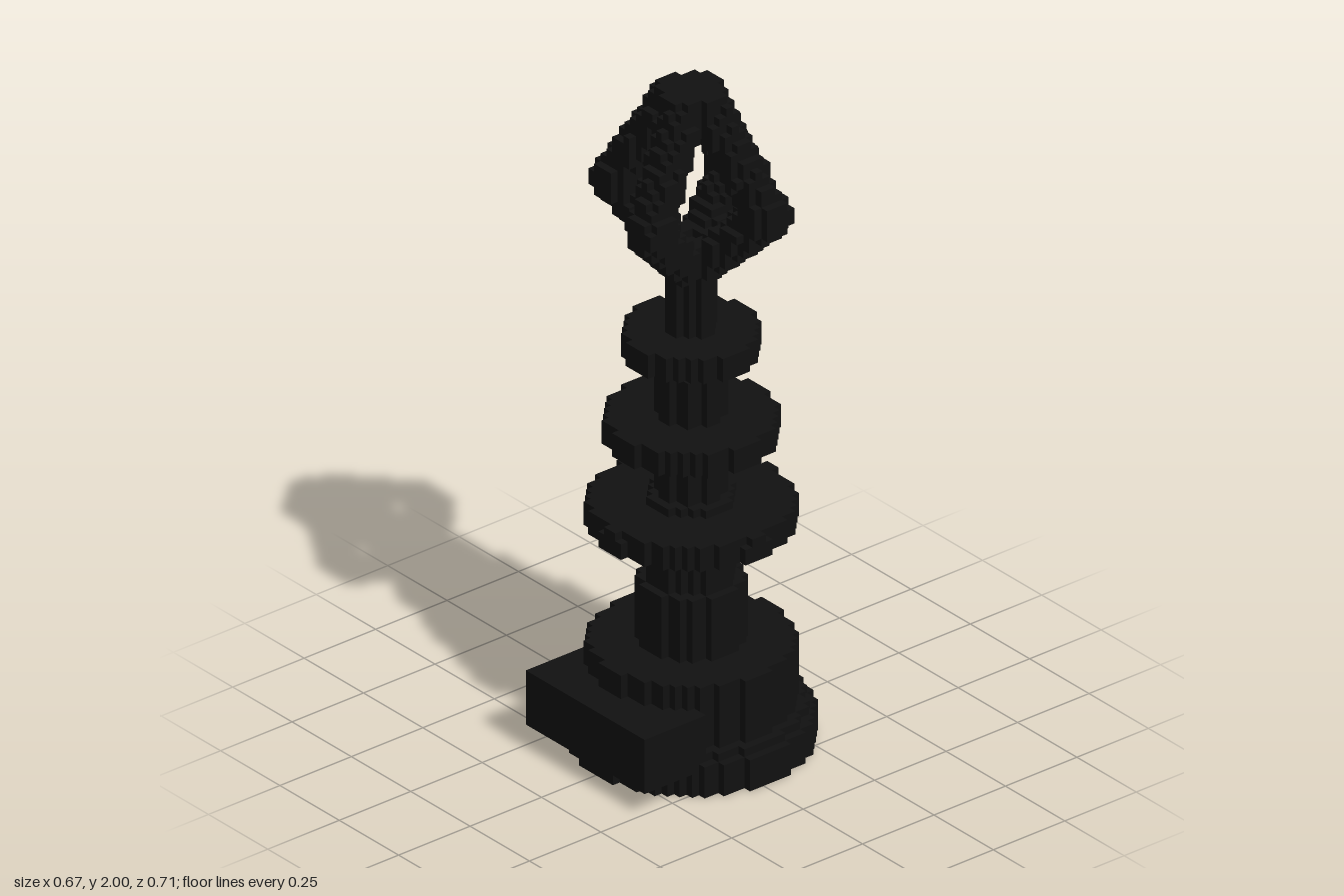
import * as THREE from 'three';

const V = 2 / 84;              // edge of one cube
const AXIS_Z = -1;             // column axis, in cubes
const black = new THREE.MeshStandardMaterial({ color: 0x111111 });

// The six faces of a cube: outward direction and its two in-plane directions (u x v = n)
const FACES = [
  [[1, 0, 0], [0, 1, 0], [0, 0, 1]], [[-1, 0, 0], [0, 0, 1], [0, 1, 0]],
  [[0, 1, 0], [0, 0, 1], [1, 0, 0]], [[0, -1, 0], [1, 0, 0], [0, 0, 1]],
  [[0, 0, 1], [1, 0, 0], [0, 1, 0]], [[0, 0, -1], [0, 1, 0], [1, 0, 0]],
];

// Fill every cube whose centre passes the test (in cube units) and skin the outside
function voxelMesh(name, y0, y1, test) {
  const inside = (i, j, k) => j >= y0 && j < y1 && test(i + 0.5, j + 0.5, k + 0.5);
  const position = [], normal = [], index = [];
  for (let j = y0; j < y1; j++) for (let i = -15; i < 15; i++) for (let k = -16; k < 16; k++) {
    if (!inside(i, j, k)) continue;
    for (const [n, u, v] of FACES) {
      if (inside(i + n[0], j + n[1], k + n[2])) continue;
      const start = position.length / 3;
      for (const [a, b] of [[-1, -1], [1, -1], [1, 1], [-1, 1]]) {
        [i, j, k].forEach((c, d) => position.push((c + 0.5 + (n[d] + a * u[d] + b * v[d]) / 2) * V));
        normal.push(...n);
      }
      index.push(start, start + 1, start + 2, start, start + 2, start + 3);
    }
  }
  const geometry = new THREE.BufferGeometry();
  geometry.setAttribute('position', new THREE.Float32BufferAttribute(position, 3));
  geometry.setAttribute('normal', new THREE.Float32BufferAttribute(normal, 3));
  geometry.setIndex(index);
  const mesh = new THREE.Mesh(geometry, black);
  mesh.name = name;
  return mesh;
}

// Stack of round layers; each step is [top row, radius], in cubes
function roundStack(name, y0, steps) {
  const top = steps[steps.length - 1][0];
  return voxelMesh(name, y0, top, (x, y, z) => {
    const radius = steps.find(([t]) => y < t)[1];
    return Math.hypot(x, z - AXIS_Z) <= radius - 0.25;
  });
}

// Bent finger: a thick line through three points, turned about the axis
function finger(name, angle) {
  const path = [[0.02, 1.46], [0.235, 1.665], [0.05, 1.96]].map(([r, y]) =>
    new THREE.Vector3(r * Math.sin(angle) / V, y / V, r * Math.cos(angle) / V + AXIS_Z));
  const bones = [new THREE.Line3(path[0], path[1]), new THREE.Line3(path[1], path[2])];
  const p = new THREE.Vector3(), near = new THREE.Vector3();
  return voxelMesh(name, 58, 84, (x, y, z) => {
    p.set(x, y, z);
    return bones.some(b => b.closestPointToPoint(p, true, near).distanceTo(p) < 0.056 / V);
  });
}

export function createModel() {
  const model = new THREE.Group();
  model.name = 'trophy';

  // Stepped round base with a plaque on its front
  model.add(roundStack('base', 0, [[4, 14], [5, 13], [13, 12]]));
  model.add(voxelMesh('plaque', 3, 10, (x, y, z) => x > -10 && x < 11 && z > 6 && z < 15));

  // Narrowing column
  model.add(roundStack('column', 13, [[21, 6], [32, 5], [48, 4], [62, 3]]));

  // Three flat rings, smaller towards the top
  model.add(roundStack('lowerRing', 28, [[30, 12], [31, 11.8]]));
  model.add(roundStack('middleRing', 39, [[42, 10]]));
  model.add(roundStack('upperRing', 50, [[53, 8]]));

  // Four fingers set a quarter turn apart
  const claw = new THREE.Group();
  claw.name = 'claw';
  for (let i = 0; i < 4; i++) {
    claw.add(finger('finger' + (i + 1), THREE.MathUtils.degToRad(22 + i * 90)));
  }
  model.add(claw);
  return model;
}
